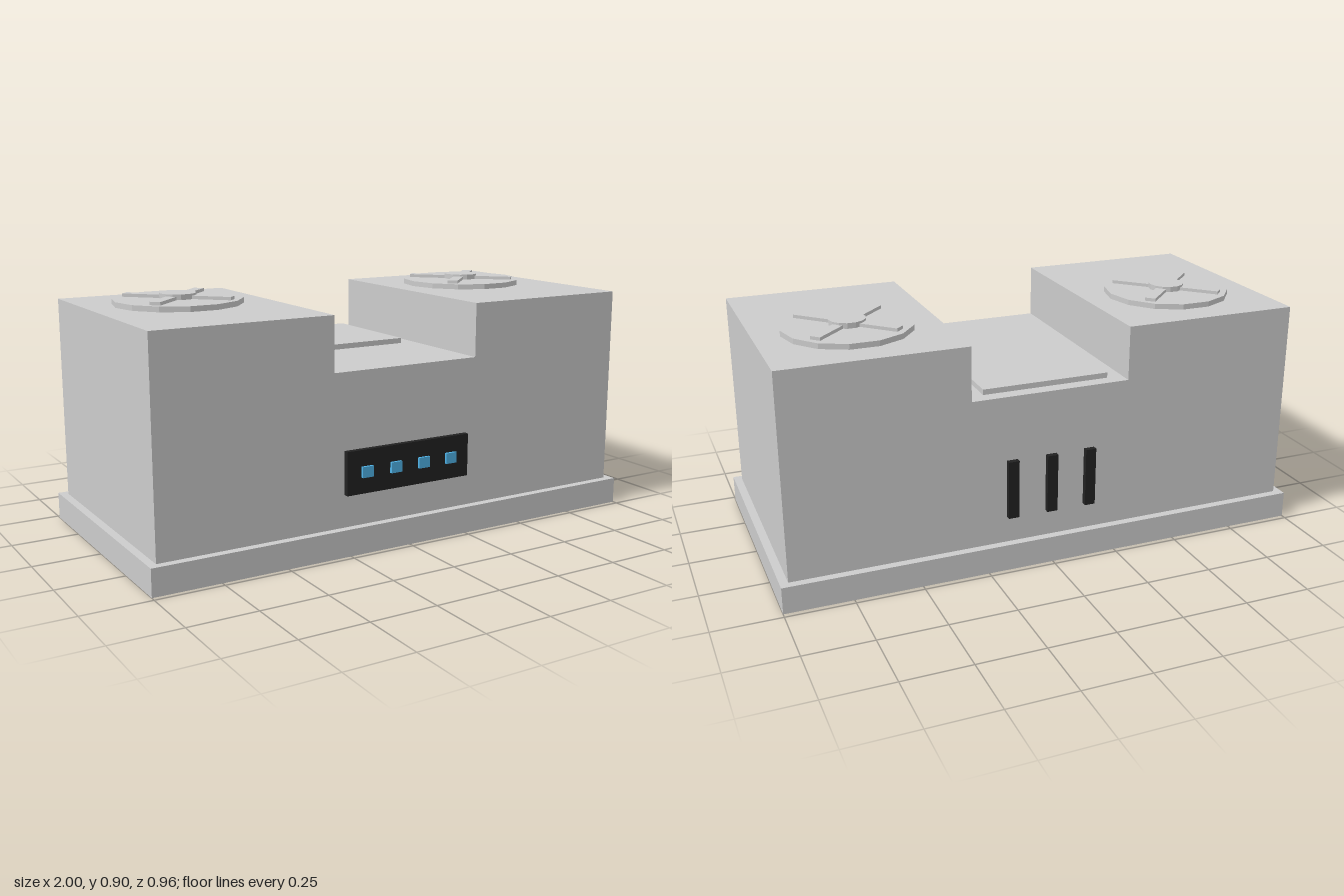
import * as THREE from 'three';

const grey = new THREE.MeshStandardMaterial({ color: 0xcccccc, flatShading: true });
const dark = new THREE.MeshStandardMaterial({ color: 0x222222 });
const blue = new THREE.MeshStandardMaterial({ color: 0x4fb3e8 });

function add(parent, name, geometry, material, x, y, z) {
  const mesh = new THREE.Mesh(geometry, material);
  mesh.name = name;
  mesh.position.set(x, y, z);
  parent.add(mesh);
  return mesh;
}

// Box given by its extents along each axis
function box(parent, name, material, [x0, x1], [y0, y1], [z0, z1]) {
  return add(parent, name, new THREE.BoxGeometry(x1 - x0, y1 - y0, z1 - z0), material,
    (x0 + x1) / 2, (y0 + y1) / 2, (z0 + z1) / 2);
}

// Low disc with a vertex pointing along x
function disc(parent, name, radius, y0, y1) {
  const geometry = new THREE.CylinderGeometry(radius, radius, y1 - y0, 14).rotateY(Math.PI / 2);
  return add(parent, name, geometry, grey, 0, (y0 + y1) / 2, 0);
}

// Rooftop fan: disc, two crossed blades and a hub
function createFan(name) {
  const fan = new THREE.Group();
  fan.name = name;
  disc(fan, 'fanDisc', 0.238, 0, 0.02);
  for (const turn of [1, -1]) {
    const blade = box(fan, 'fanBlade', grey, [-0.21, 0.21], [0.02, 0.032], [-0.02, 0.02]);
    blade.rotation.y = turn * Math.PI / 4;
  }
  disc(fan, 'fanHub', 0.067, 0.02, 0.04);
  return fan;
}

export function createModel() {
  const model = new THREE.Group();
  model.name = 'rooftopUnit';

  // Plinth
  box(model, 'base', grey, [-1, 1], [0, 0.1], [-0.48, 0.48]);

  // Housing: two towers joined by a lower middle
  const outline = new THREE.Shape([
    [-0.97, 0.1], [0.97, 0.1], [0.97, 0.86], [0.3, 0.86],
    [0.3, 0.66], [-0.3, 0.66], [-0.3, 0.86], [-0.97, 0.86],
  ].map(([x, y]) => new THREE.Vector2(x, y)));
  add(model, 'housing', new THREE.ExtrudeGeometry(outline, { depth: 0.9, bevelEnabled: false }),
    grey, 0, 0, -0.45);

  // Hatch in the recess
  box(model, 'hatch', grey, [-0.24, 0.24], [0.66, 0.68], [-0.4, 0.05]);

  // Fans on both towers
  for (const side of [1, -1]) {
    const fan = createFan(side > 0 ? 'leftFan' : 'rightFan');
    fan.position.set(side * 0.635, 0.86, -0.1);
    model.add(fan);
  }

  // Front control panel with lights
  box(model, 'controlPanel', dark, [-0.26, 0.26], [0.22, 0.38], [0.45, 0.47]);
  for (const x of [-0.18, -0.06, 0.06, 0.18]) {
    box(model, 'panelLight', blue, [x - 0.0225, x + 0.0225], [0.28, 0.32], [0.465, 0.48]);
  }

  // Rear vent bars
  for (const x of [-0.15, 0, 0.15]) {
    box(model, 'rearVent', dark, [x - 0.02, x + 0.02], [0.2, 0.42], [-0.47, -0.45]);
  }

  return model;
}
